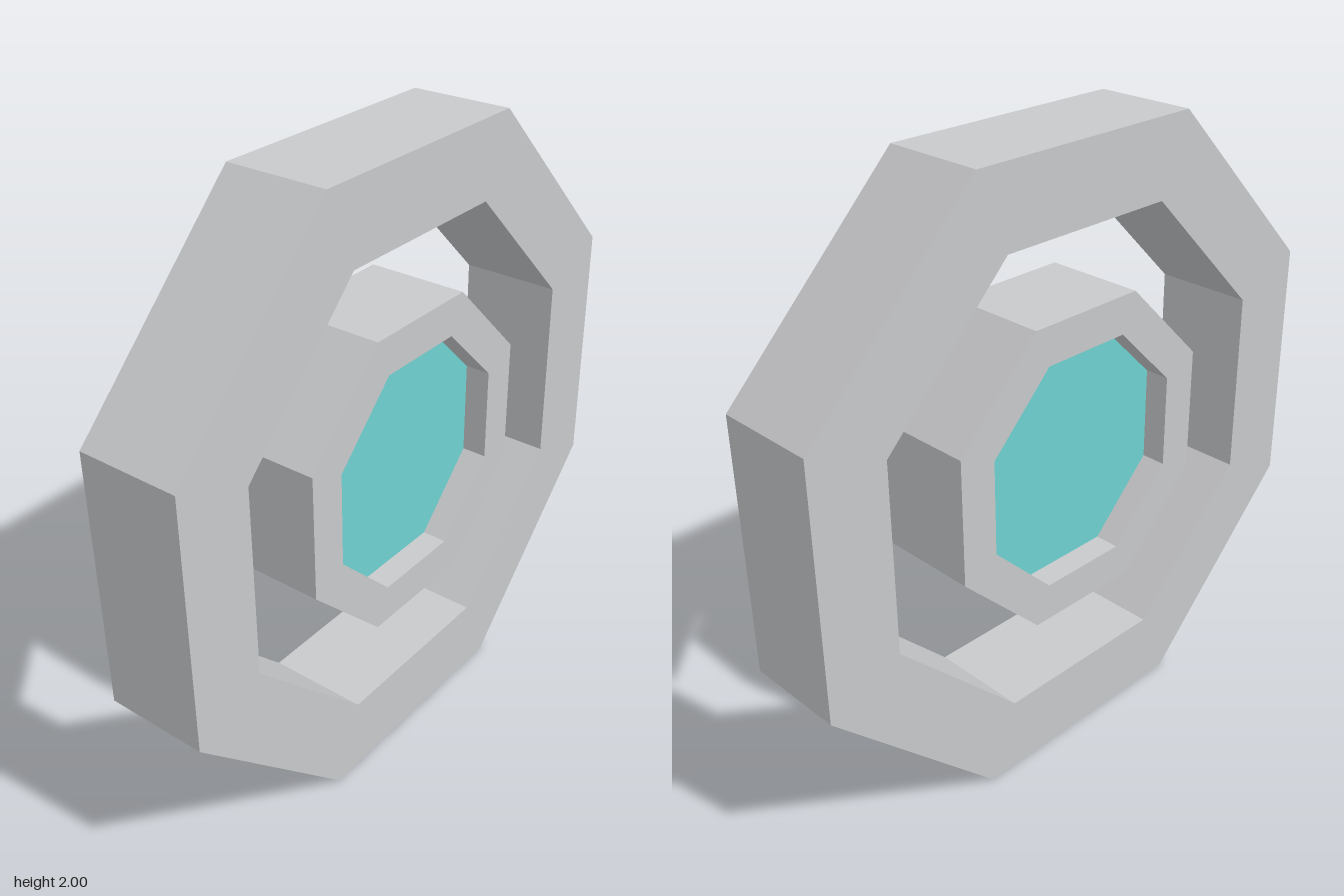
import * as THREE from 'three';

const DEPTH = 1 / 3;

// Corners of a flat-topped octagon, given the distance from centre to side
function octagon(apothem) {
  const r = apothem / Math.cos(Math.PI / 8);
  return Array.from({ length: 8 }, (_, i) => {
    const a = (i + 0.5) * Math.PI / 4;
    return new THREE.Vector2(r * Math.cos(a), r * Math.sin(a));
  });
}

// Octagonal plate centred on z = 0, with an optional octagonal hole
function plate(name, outer, inner, depth, material) {
  const shape = new THREE.Shape(octagon(outer));
  if (inner) shape.holes.push(new THREE.Path(octagon(inner)));
  const geometry = new THREE.ExtrudeGeometry(shape, { depth, bevelEnabled: false });
  geometry.translate(0, 1, -depth / 2);
  const mesh = new THREE.Mesh(geometry, material);
  mesh.name = name;
  return mesh;
}

export function createModel() {
  const grey = new THREE.MeshStandardMaterial({ color: 0xc8c9cb });
  grey.name = 'light grey';
  const teal = new THREE.MeshStandardMaterial({ color: 0x6fd1d1 });
  teal.name = 'teal';

  const model = new THREE.Group();
  model.name = 'octagonalRings';
  model.add(
    plate('outerRing', 1, 0.75, DEPTH, grey),
    plate('innerRing', 0.5, 0.375, DEPTH, grey),
    // Core sits recessed on both faces of the inner ring
    plate('core', 0.375, 0, DEPTH / 2, teal),
  );
  return model;
}
